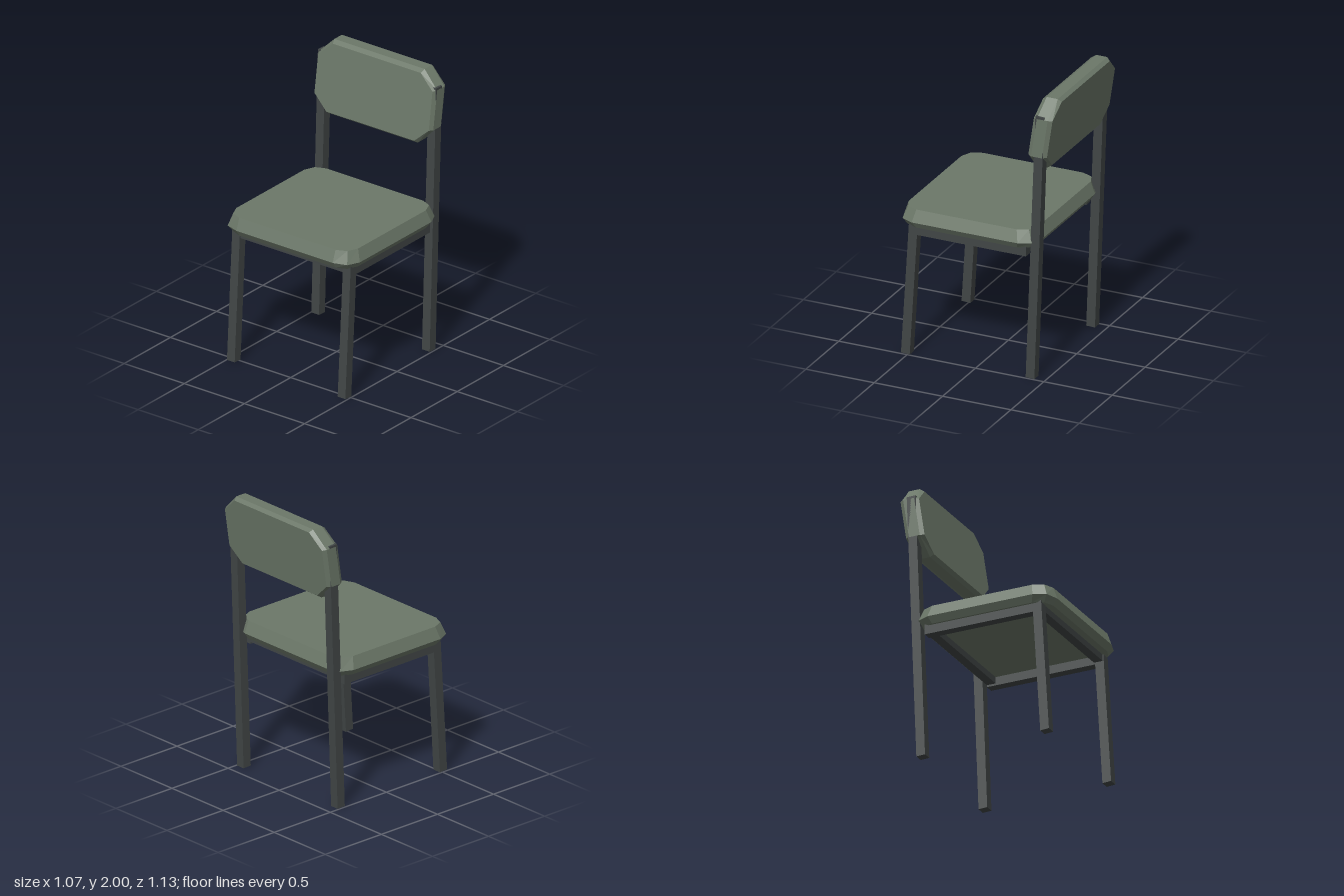
import * as THREE from 'three';

const fabric = new THREE.MeshStandardMaterial({ color: 0x6c7869 });
fabric.name = 'sageFabric';
const metal = new THREE.MeshStandardMaterial({ color: 0x414646 });
metal.name = 'darkMetal';

// Mirrors the corner points of one quadrant (counterclockwise) into a closed outline
function outline(corner) {
  const flip = (sx, sy) => corner.map(([x, y]) => [x * sx, y * sy]);
  return [...flip(1, 1), ...flip(-1, 1).reverse(), ...flip(-1, -1), ...flip(1, -1).reverse()];
}

// Joins outlines stacked along z into a closed, faceted cushion
function cushion(layers) {
  const rings = layers.map(([z, corner]) => outline(corner).map(([x, y]) => [x, y, z]));
  const n = rings[0].length;
  const last = rings[rings.length - 1];
  const pos = [];
  const tri = (a, b, c) => pos.push(...a, ...b, ...c);
  for (let r = 0; r < rings.length - 1; r++) {
    for (let i = 0; i < n; i++) {
      const j = (i + 1) % n;
      tri(rings[r][i], rings[r][j], rings[r + 1][j]);
      tri(rings[r][i], rings[r + 1][j], rings[r + 1][i]);
    }
  }
  for (let i = 1; i < n - 1; i++) {
    tri(last[0], last[i], last[i + 1]);
    tri(rings[0][0], rings[0][i + 1], rings[0][i]);
  }
  const geo = new THREE.BufferGeometry();
  geo.setAttribute('position', new THREE.Float32BufferAttribute(pos, 3));
  return geo;
}

export function createModel() {
  const chair = new THREE.Group();
  chair.name = 'chair';

  const add = (name, geo, material) => {
    geo.computeVertexNormals();
    const mesh = new THREE.Mesh(geo, material);
    mesh.name = name;
    chair.add(mesh);
    return mesh;
  };

  // Seat cushion with bevelled rim
  const seatInner = [[0.506, 0.367], [0.474, 0.442], [0.4, 0.473]];
  const seatOuter = [[0.536, 0.387], [0.497, 0.472], [0.4, 0.503]];
  const seatGeo = cushion([[0.935, seatInner], [0.98, seatOuter], [1.065, seatInner]]);
  seatGeo.rotateX(-Math.PI / 2).translate(0, 0, 0.063);
  add('seat', seatGeo, fabric);

  // Backrest: bevelled octagonal pad, sheared to lean backwards
  const backInner = [[0.475, 0.135], [0.365, 0.235]];
  const backOuter = [[0.492, 0.139], [0.375, 0.255]];
  const backGeo = cushion([[-0.068, backInner], [-0.04, backOuter], [0.04, backOuter], [0.068, backInner]]);
  backGeo.applyMatrix4(new THREE.Matrix4().set(
    1, 0, 0, 0,
    0, 1, 0, 1.745,
    0, -0.15, 1, -0.463,
    0, 0, 0, 1));
  add('backrest', backGeo, fabric);

  // Square leg running from a foot point to a top point
  const leg = (name, x, y0, z0, y1, z1) => {
    const geo = new THREE.BoxGeometry(0.064, Math.hypot(y1 - y0, z1 - z0), 0.064);
    geo.rotateX(Math.atan2(z1 - z0, y1 - y0));
    geo.translate(x, (y0 + y1) / 2, (z0 + z1) / 2);
    add(name, geo, metal);
  };

  const rail = (name, w, h, d, x, y, z) =>
    add(name, new THREE.BoxGeometry(w, h, d).translate(x, y, z), metal);

  for (const [side, s] of [['left', 1], ['right', -1]]) {
    leg(side + 'FrontLeg', s * 0.46, 0.002, 0.517, 0.95, 0.459);
    leg(side + 'BackLeg', s * 0.46, 0.002, -0.395, 1.9, -0.466);
    rail(side + 'SeatRail', 0.064, 0.07, 0.81, s * 0.46, 0.91, 0.04);
  }

  // Cross rails under the seat
  rail('frontSeatRail', 0.86, 0.055, 0.064, 0, 0.917, 0.455);
  rail('backSeatRail', 0.86, 0.055, 0.064, 0, 0.917, -0.333);

  return chair;
}
